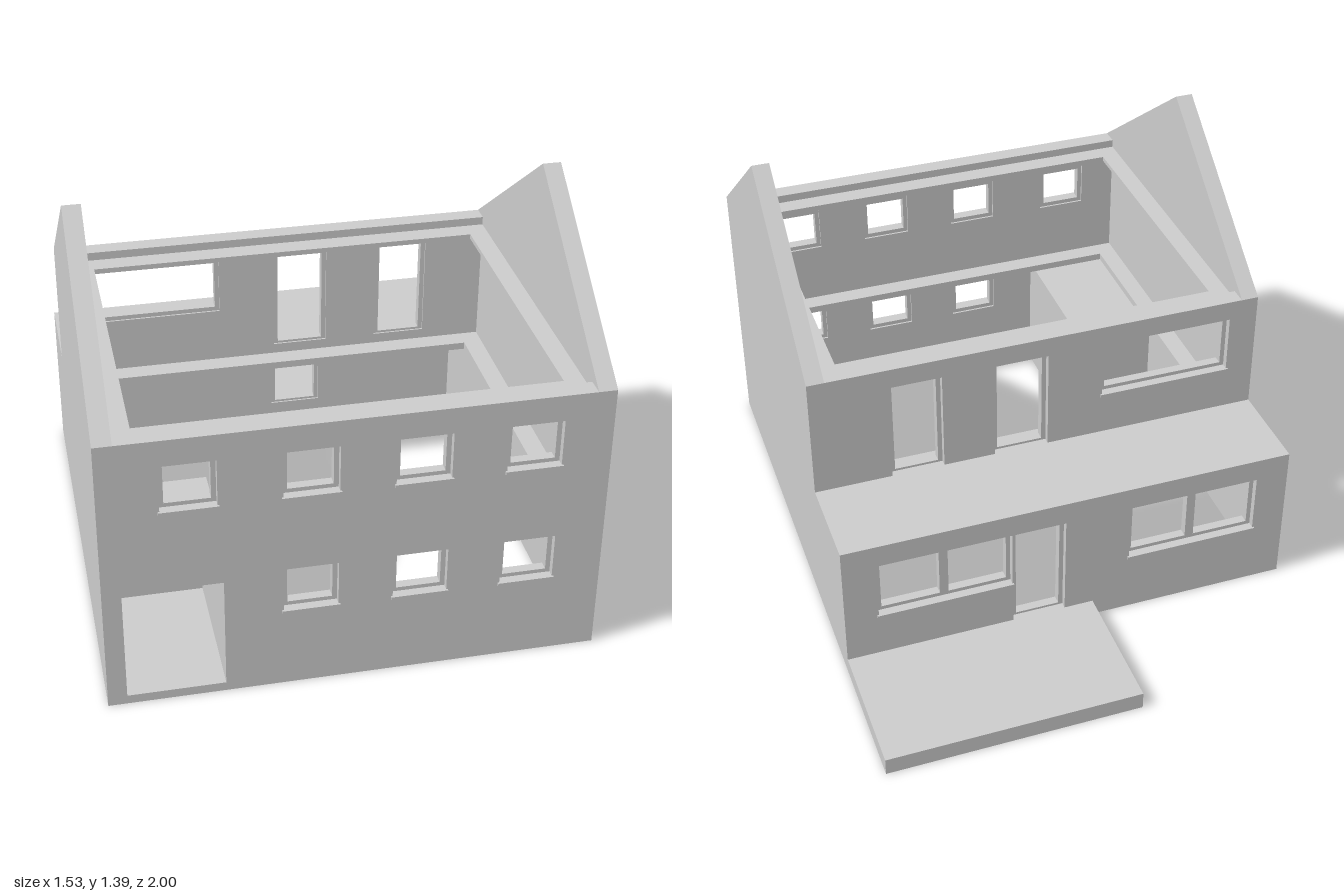
import * as THREE from 'three';

// Plan lines: outer and inner wall faces, and the edge of the floor opening
const X_OUT = 0.767, X_MID = 0.709, X_HOLE = 0.646;
const FRONT = 0.993, FRONT_MID = 0.934, FRONT_HOLE = 0.87;
const BACK = -0.23, BACK_MID = -0.172, BACK_HOLE = -0.106;
const EXT = -0.55, EXT_MID = -0.492;
// Levels
const EAVES = 0.934, PEAK = 1.386, CEILING = 0.45, ROOF_TOP = 0.51;

export function createModel() {
  const house = new THREE.Group();
  house.name = 'houseShell';
  const plaster = new THREE.MeshStandardMaterial({ color: 0xcccccc });
  plaster.name = 'plasterGrey';

  const add = (name, geometry, parent = house) => {
    const mesh = new THREE.Mesh(geometry, plaster);
    mesh.name = name;
    parent.add(mesh);
    return mesh;
  };

  // Box given by its limits on each axis
  const block = (name, x0, x1, y0, y1, z0, z1, parent) => {
    const g = new THREE.BoxGeometry(x1 - x0, y1 - y0, z1 - z0);
    g.translate((x0 + x1) / 2, (y0 + y1) / 2, (z0 + z1) / 2);
    return add(name, g, parent);
  };

  const rect = (Type, a, b, c, d) => {
    const r = new Type();
    r.moveTo(a, c).lineTo(b, c).lineTo(b, d).lineTo(a, d).closePath();
    return r;
  };

  // Wall facing front or back, with rectangular openings
  const wall = (name, y0, y1, z0, z1, openings) => {
    const shape = rect(THREE.Shape, -X_MID, X_MID, y0, y1);
    for (const o of openings) shape.holes.push(rect(THREE.Path, o.x0, o.x1, o.y0, o.y1));
    const g = new THREE.ExtrudeGeometry(shape, { depth: z1 - z0, bevelEnabled: false });
    g.translate(0, 0, z0);
    return add(name, g);
  };

  // Thin floor ledge running round the inside of the walls
  const ledge = (name, y0, y1) => {
    const shape = rect(THREE.Shape, -X_MID, X_MID, BACK_MID, FRONT_MID);
    shape.holes.push(rect(THREE.Path, -X_HOLE, X_HOLE, BACK_HOLE, FRONT_HOLE));
    const g = new THREE.ExtrudeGeometry(shape, { depth: y1 - y0, bevelEnabled: false });
    g.rotateX(Math.PI / 2).translate(0, y1, 0);
    return add(name, g);
  };

  // Recessed frame with optional mullion and sill; dir points outwards
  const frame = (name, o, face, dir) => {
    const unit = new THREE.Group();
    unit.name = name;
    house.add(unit);
    const t = 0.015;
    const a = face - dir * 0.022, b = face - dir * 0.052;
    const z0 = Math.min(a, b), z1 = Math.max(a, b);
    block('leftJamb', o.x1 - t, o.x1, o.y0, o.y1, z0, z1, unit);
    block('rightJamb', o.x0, o.x0 + t, o.y0, o.y1, z0, z1, unit);
    block('head', o.x0 + t, o.x1 - t, o.y1 - t, o.y1, z0, z1, unit);
    block('bottomRail', o.x0 + t, o.x1 - t, o.y0, o.y0 + (o.door ? 0.008 : t), z0, z1, unit);
    if (o.mullion) {
      const m = (o.x0 + o.x1) / 2;
      block('mullion', m - t, m + t, o.y0 + t, o.y1 - t, z0, z1, unit);
    }
    if (!o.door) {
      const s = face + dir * 0.007, r = face - dir * 0.022;
      block('sill', o.x0 - 0.005, o.x1 + 0.005, o.y0 - 0.009, o.y0 + 0.002,
        Math.min(s, r), Math.max(s, r), unit);
    }
  };

  // Openings
  const columns = [-0.502, -0.142, 0.194, 0.53];
  const row = (xs, y0, y1) => xs.map((x) => ({ x0: x - 0.084, x1: x + 0.084, y0, y1 }));
  const frontUpper = row(columns, 0.691, 0.847);
  const frontLower = row(columns.slice(1), 0.279, 0.432);
  const garageDoor = { x0: -0.708, x1: -0.405, y0: 0.03, y1: 0.412 };
  const backUpper = [
    { x0: -0.67, x1: -0.22, y0: 0.665, y1: 0.865 },
    { x0: -0.03, x1: 0.155, y0: ROOF_TOP, y1: 0.865, door: true },
    { x0: 0.33, x1: 0.507, y0: ROOF_TOP, y1: 0.865, door: true },
  ];
  const backLower = [
    { x0: -0.655, x1: -0.205, y0: 0.222, y1: 0.43, mullion: true },
    { x0: 0.02, x1: 0.2, y0: 0.06, y1: 0.43, door: true },
    { x0: 0.204, x1: 0.655, y0: 0.222, y1: 0.43, mullion: true },
  ];

  // Gable walls with the stepped rear profile
  const profile = new THREE.Shape([
    [EXT, 0], [FRONT, 0], [FRONT, EAVES], [(FRONT + BACK) / 2, PEAK],
    [BACK, EAVES], [BACK, ROOF_TOP], [EXT, ROOF_TOP],
  ].map(([z, y]) => new THREE.Vector2(z, y)));
  for (const [name, x] of [['leftGable', X_OUT], ['rightGable', -X_MID]]) {
    const g = new THREE.ExtrudeGeometry(profile, { depth: X_OUT - X_MID, bevelEnabled: false });
    g.rotateY(-Math.PI / 2).translate(x, 0, 0);
    add(name, g);
  }

  // Front wall, upper back wall and extension wall
  wall('frontWall', 0, EAVES, FRONT_MID, FRONT, [...frontUpper, ...frontLower, garageDoor]);
  wall('upperBackWall', CEILING, EAVES, BACK, BACK_MID, backUpper);
  wall('extensionWall', 0, ROOF_TOP, EXT, EXT_MID, backLower);
  block('extensionRoof', -X_MID, X_MID, CEILING, ROOF_TOP, EXT_MID, BACK);

  // Floor and ceiling ledges
  ledge('floorLedge', CEILING, 0.475);
  ledge('ceilingLedge', 0.89, 0.906);

  // Garage box
  const garageBack = 0.5, garageSide = -0.379;
  block('garageFloor', -X_MID, garageSide, 0, 0.03, garageBack, FRONT_MID);
  block('garageCeiling', -X_MID, garageSide, 0.412, CEILING, garageBack, FRONT_MID);
  block('garageBackWall', -X_MID, garageSide, 0.03, 0.412, garageBack, garageBack + 0.025);
  block('garagePartition', -0.405, garageSide, 0.03, 0.412, garageBack + 0.025, FRONT_MID);

  // Window and door frames
  for (const o of [...frontUpper, ...frontLower]) frame('frontWindow', o, FRONT, 1);
  for (const o of backUpper) frame(o.door ? 'balconyDoor' : 'backWindow', o, BACK, -1);
  for (const o of backLower) frame(o.door ? 'terraceDoor' : 'extensionWindow', o, EXT, -1);

  // Terrace slab
  block('terrace', -0.08, X_OUT, 0, 0.06, -1, EXT);

  return house;
}
